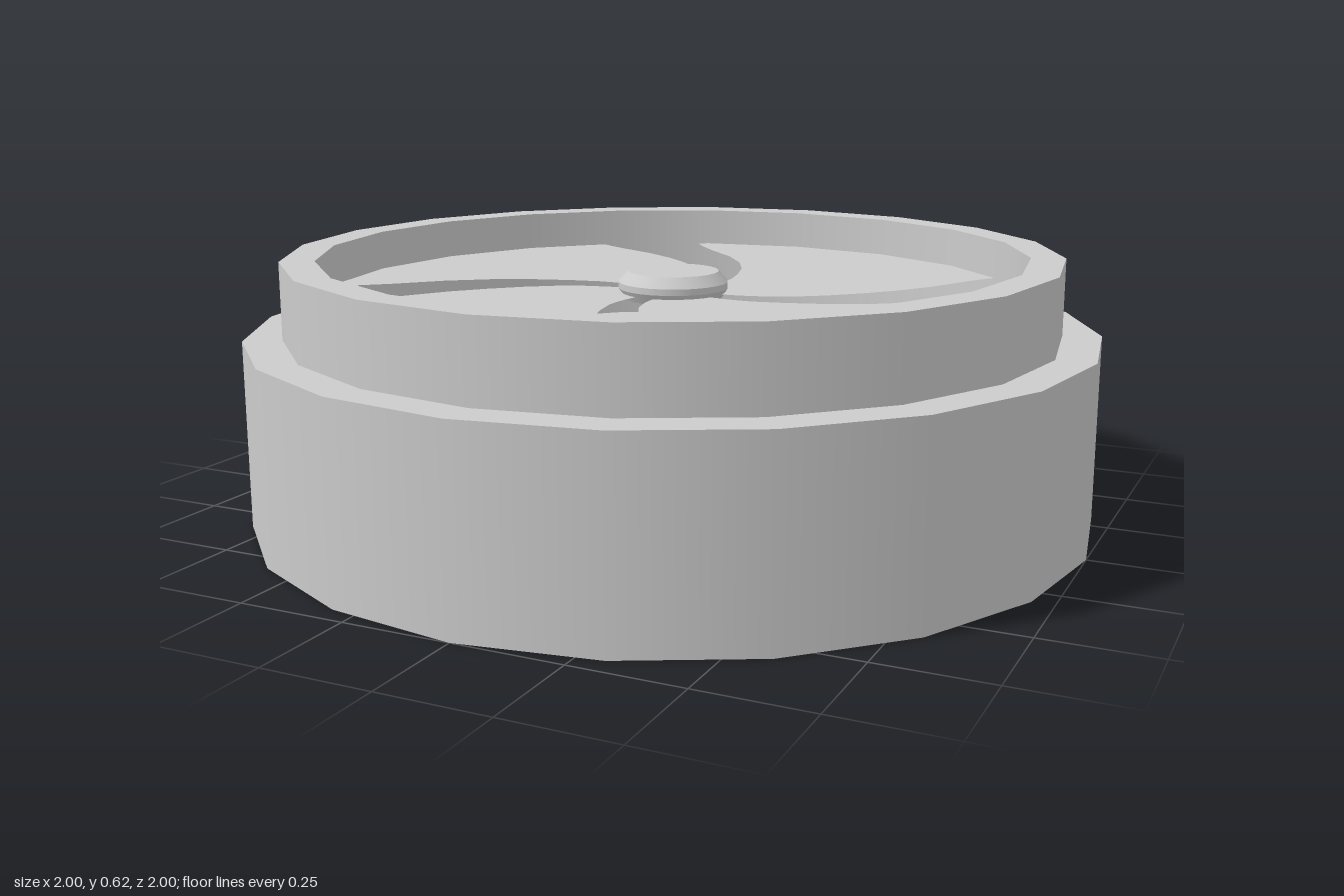
import * as THREE from 'three';
import { mergeGeometries } from 'three/addons/utils/BufferGeometryUtils.js';

const SIDES = 20;
const material = new THREE.MeshStandardMaterial({ color: 0xcccccc, side: THREE.DoubleSide });

function addMesh(group, name, geometry) {
  const mesh = new THREE.Mesh(geometry, material);
  mesh.name = name;
  group.add(mesh);
  return mesh;
}

// Turned surface: smooth around the axis, sharp at every profile corner
function turned(profile, sides) {
  const bands = [];
  for (let i = 0; i < profile.length - 1; i++) {
    const pair = [profile[i], profile[i + 1]].map(([r, y]) => new THREE.Vector2(r, y));
    bands.push(new THREE.LatheGeometry(pair, sides));
  }
  return mergeGeometries(bands);
}

// Points along a smooth curve through [x, z] pairs, as (x, -z) for a flat shape
function edgeCurve(points) {
  return new THREE.SplineCurve(points.map(([x, z]) => new THREE.Vector2(x, -z))).getPoints(10);
}

// One thin blade: S-shaped edge out, rim arc, next S-shaped edge back in
function bladeGeometry(rimRadius) {
  const leading = edgeCurve([[0.043, -0.115], [0.053, -0.18], [0.05, -0.245], [0.01, -0.395],
    [-0.075, -0.545], [-0.22, -0.69], [-0.285, -0.775]]);
  const trailing = edgeCurve([[-0.52, -0.645], [-0.47, -0.61], [-0.29, -0.52], [-0.16, -0.417],
    [-0.064, -0.31], [-0.016, -0.21], [-0.005, -0.115]])
    .map((p) => new THREE.Vector2(p.y, -p.x));
  const arc = [108, 90, 72, 54].map((deg) => {
    const a = THREE.MathUtils.degToRad(deg);
    return new THREE.Vector2(rimRadius * Math.cos(a), rimRadius * Math.sin(a));
  });
  const shape = new THREE.Shape([...leading, ...arc, ...trailing, new THREE.Vector2(0, 0)]);
  return new THREE.ShapeGeometry(shape).rotateX(-Math.PI / 2);
}

export function createModel() {
  const model = new THREE.Group();
  model.name = 'ventilatorHousing';

  // Stepped housing, open underneath
  addMesh(model, 'housing', turned([[1, 0], [1, 0.44], [0.91, 0.44], [0.91, 0.62],
    [0.83, 0.62], [0.83, 0.325]], SIDES));

  // Floor closing the well below the blades
  addMesh(model, 'floor', turned([[0, 0.325], [0.83, 0.325]], SIDES));

  // Four curved blades with gaps between them
  const blades = new THREE.Group();
  blades.name = 'blades';
  const blade = bladeGeometry(0.83);
  for (let i = 0; i < 4; i++) {
    const mesh = addMesh(blades, `blade${i + 1}`, blade);
    mesh.position.y = 0.525;
    mesh.rotation.y = (i * Math.PI) / 2;
  }
  model.add(blades);

  // Bevelled hub cap
  addMesh(model, 'hub', turned([[0, 0.51], [0.115, 0.51], [0.13, 0.535], [0.13, 0.55],
    [0.108, 0.575], [0, 0.575]], 24));

  return model;
}
